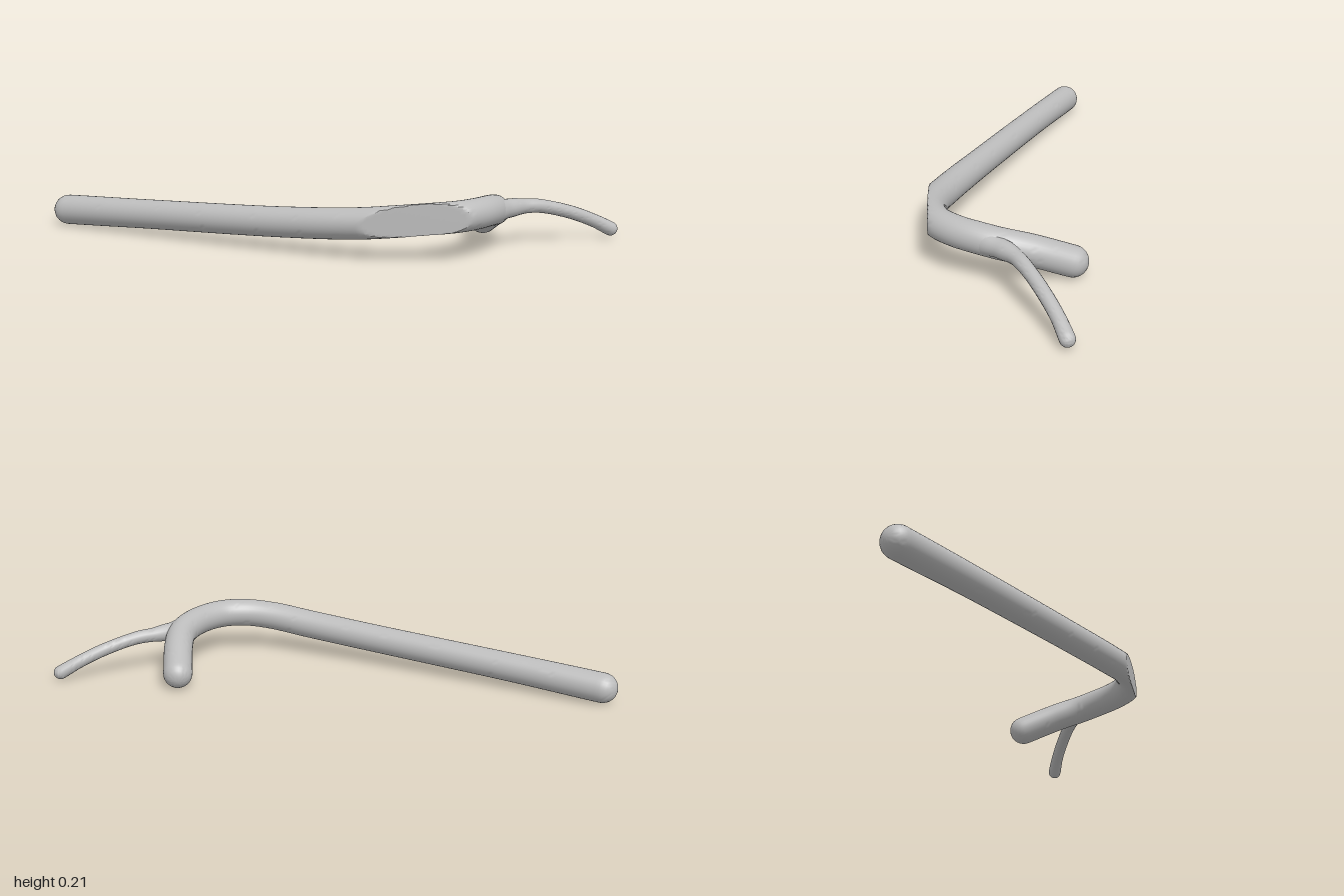
import * as THREE from 'three';
import { toCreasedNormals } from 'three/addons/utils/BufferGeometryUtils.js';

const vec = (p) => new THREE.Vector3(...p);

// Round limb swept along a curve, with radii spread evenly over its length and domed ends
function limb(points, radii, segments, sides, adjust) {
  const curve = new THREE.CatmullRomCurve3(points.map(vec), false, 'centripetal');
  const frames = curve.computeFrenetFrames(segments, false);
  const radiusAt = (u) => {
    const f = u * (radii.length - 1);
    const i = Math.min(Math.floor(f), radii.length - 2);
    return THREE.MathUtils.lerp(radii[i], radii[i + 1], THREE.MathUtils.smoothstep(f - i, 0, 1));
  };

  // Rings: start dome, body, end dome
  const rings = [];
  const dome = 7;
  for (let k = 0; k < dome; k++) {
    const a = (1 - k / dome) * Math.PI / 2;
    rings.push({ i: 0, scale: k ? Math.cos(a) : 0, shift: -Math.sin(a) });
  }
  for (let i = 0; i <= segments; i++) rings.push({ i, scale: 1, shift: 0 });
  for (let k = 1; k <= dome; k++) {
    const a = (k / dome) * Math.PI / 2;
    rings.push({ i: segments, scale: k < dome ? Math.cos(a) : 0, shift: Math.sin(a) });
  }

  const positions = [];
  const index = [];
  rings.forEach(({ i, scale, shift }, row) => {
    const r = radiusAt(i / segments);
    const centre = curve.getPointAt(i / segments).addScaledVector(frames.tangents[i], shift * r);
    for (let j = 0; j < sides; j++) {
      const a = (j / sides) * Math.PI * 2;
      const p = centre.clone()
        .addScaledVector(frames.normals[i], Math.cos(a) * r * scale)
        .addScaledVector(frames.binormals[i], Math.sin(a) * r * scale);
      if (adjust) adjust(p);
      positions.push(p.x, p.y, p.z);
      if (row === rings.length - 1) continue;
      const n = row * sides + j;
      const m = row * sides + (j + 1) % sides;
      index.push(n, m, n + sides, m, m + sides, n + sides);
    }
  });
  const geometry = new THREE.BufferGeometry();
  geometry.setAttribute('position', new THREE.Float32BufferAttribute(positions, 3));
  geometry.setIndex(index);
  return toCreasedNormals(geometry, 0.55);
}

export function createModel() {
  const group = new THREE.Group();
  group.name = 'branch';
  const bark = new THREE.MeshStandardMaterial({ color: 0xbcbcbc });
  bark.name = 'grey bark';

  // Flat shaved face on the outside of the bend
  const cut = new THREE.Plane(new THREE.Vector3(0.412, 0, 0.911).normalize(), -0.483);
  const shave = (p) => {
    const d = cut.distanceToPoint(p);
    if (d > 0) p.addScaledVector(cut.normal, -d);
  };

  // Main stem, bending back and ending in the short stub
  const stem = new THREE.Mesh(limb([
    [-0.945, 0.06, 0.33], [-0.6, 0.077, 0.34], [0, 0.105, 0.347], [0.28, 0.125, 0.338],
    [0.43, 0.143, 0.318], [0.53, 0.153, 0.28], [0.6, 0.156, 0.22], [0.637, 0.155, 0.14],
    [0.65, 0.15, 0.05], [0.643, 0.138, -0.03], [0.605, 0.113, -0.115], [0.53, 0.057, -0.238],
  ], [0.056, 0.054, 0.054, 0.055, 0.054, 0.055], 150, 32, shave), bark);
  stem.name = 'mainStem';

  // Thin side twig, flared where it leaves the stem
  const twig = new THREE.Mesh(limb([
    [0.655, 0.146, 0.03], [0.683, 0.144, -0.04], [0.715, 0.144, -0.1], [0.765, 0.14, -0.16],
    [0.85, 0.109, -0.255], [0.92, 0.07, -0.33], [0.973, 0.034, -0.38],
  ], [0.046, 0.034, 0.026, 0.024, 0.024, 0.024, 0.026], 50, 18), bark);
  twig.name = 'sideTwig';

  group.add(stem, twig);
  return group;
}
